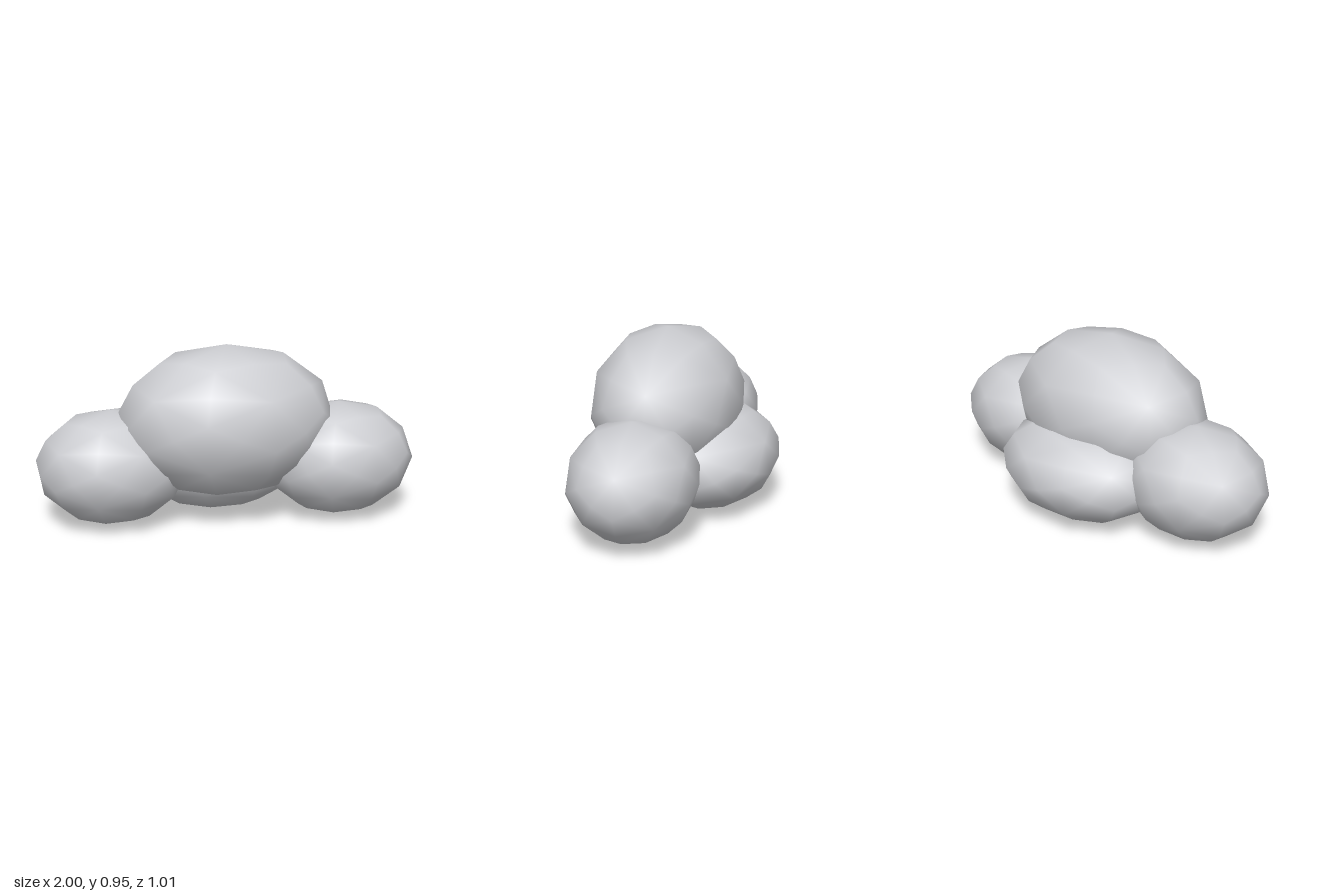
import * as THREE from 'three';
import { mergeVertices } from 'three/addons/utils/BufferGeometryUtils.js';

// Unit ball: an icosahedron with a vertex on top, each face split in six
// through its edge midpoints and its centre, all pushed out to the sphere.
function facetedBall() {
  const ring = (y, turn) => Array.from({ length: 5 }, (_, k) => {
    const a = (k * 2 + turn) * Math.PI / 5, r = Math.sqrt(1 - y * y);
    return new THREE.Vector3(r * Math.cos(a), y, r * Math.sin(a));
  });
  const top = new THREE.Vector3(0, 1, 0), bottom = new THREE.Vector3(0, -1, 0);
  const lat = 1 / Math.sqrt(5);
  const upper = ring(lat, 0), lower = ring(-lat, 1);

  const positions = [];
  const outward = (...pts) => pts.reduce((sum, p) => sum.add(p), new THREE.Vector3()).normalize();
  const addFace = (...corners) => {
    const centre = outward(...corners);
    corners.forEach((a, i) => {
      const b = corners[(i + 1) % 3], mid = outward(a, b);
      for (const p of [a, mid, centre, mid, b, centre]) positions.push(p.x, p.y, p.z);
    });
  };
  for (let k = 0; k < 5; k++) {
    const n = (k + 1) % 5;
    addFace(top, upper[n], upper[k]);
    addFace(upper[k], upper[n], lower[k]);
    addFace(lower[k], upper[n], lower[n]);
    addFace(bottom, lower[k], lower[n]);
  }
  const geometry = new THREE.BufferGeometry();
  geometry.setAttribute('position', new THREE.Float32BufferAttribute(positions, 3));
  return mergeVertices(geometry, 1e-4);
}

export function createModel() {
  const cloud = new THREE.Group();
  cloud.name = 'cloud';
  const cloudGrey = new THREE.MeshStandardMaterial({ color: 0xcccdd1 });
  cloudGrey.name = 'cloudGrey';
  const ball = facetedBall();

  // Overlapping puffs: name, centre, radii
  const puffs = [
    ['mainPuff', [0, 0.55, 0.098], [0.58, 0.405, 0.407]],
    ['leftPuff', [0.6, 0.32, 0.142], [0.407, 0.305, 0.338]],
    ['rightPuff', [-0.6, 0.32, 0.048], [0.407, 0.305, 0.338]],
    ['backPuff', [0, 0.275, -0.13], [0.486, 0.272, 0.375]],
  ];
  for (const [name, centre, radii] of puffs) {
    const geometry = ball.clone().scale(...radii);
    geometry.computeVertexNormals();
    const puff = new THREE.Mesh(geometry, cloudGrey);
    puff.name = name;
    puff.position.set(...centre);
    cloud.add(puff);
  }
  return cloud;
}
